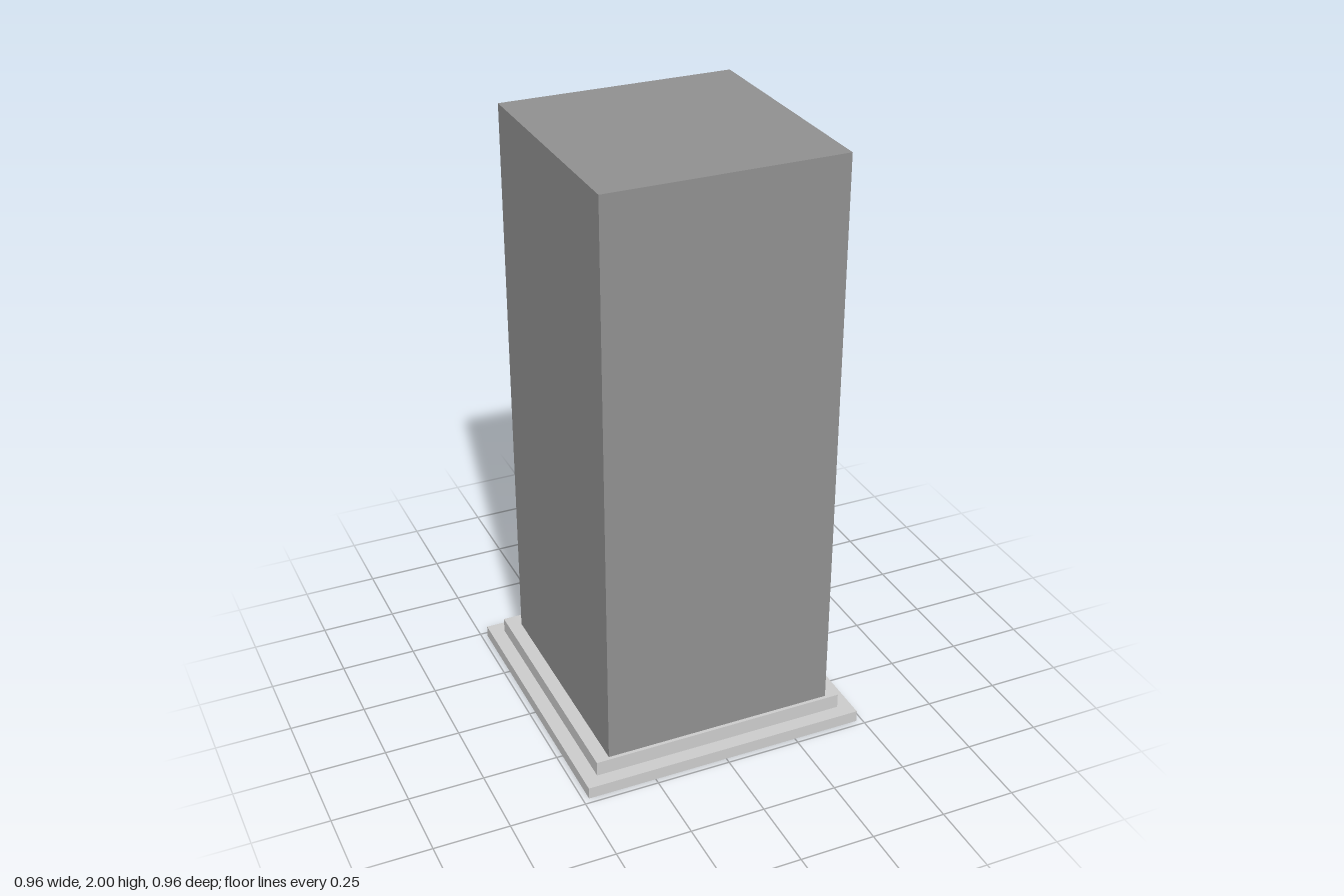
import * as THREE from 'three';

const plain = new THREE.MeshStandardMaterial({ color: 0xcccccc });
const dark = new THREE.MeshStandardMaterial({ color: 0x909090 });

// Box given by its minimum and maximum corners
function box(name, [x0, y0, z0], [x1, y1, z1], material) {
  const mesh = new THREE.Mesh(new THREE.BoxGeometry(x1 - x0, y1 - y0, z1 - z0), material);
  mesh.position.set((x0 + x1) / 2, (y0 + y1) / 2, (z0 + z1) / 2);
  mesh.name = name;
  return mesh;
}

function trace(path, points) {
  points.forEach(([x, y], i) => (i ? path.lineTo(x, y) : path.moveTo(x, y)));
  path.closePath();
  return path;
}

const rect = (x0, y0, x1, y1) => [[x0, y0], [x1, y0], [x1, y1], [x0, y1]];

// Rectangular frame in the xy plane, extruded from z0 to z1
function frame(name, outer, inner, z0, z1, material) {
  const shape = trace(new THREE.Shape(), rect(...outer));
  shape.holes.push(trace(new THREE.Path(), rect(...inner)));
  const geometry = new THREE.ExtrudeGeometry(shape, { depth: z1 - z0, bevelEnabled: false });
  geometry.translate(0, 0, z0);
  const mesh = new THREE.Mesh(geometry, material);
  mesh.name = name;
  return mesh;
}

// Hinge leaf with a rounded outer corner, seen from above and extruded upward
function hingeLeaf(y0, y1) {
  const shape = new THREE.Shape();
  shape.moveTo(0.307, 0.379);
  shape.lineTo(0.36, 0.379);
  shape.lineTo(0.36, 0.388);
  shape.absarc(0.335, 0.388, 0.025, 0, Math.PI / 2, false);
  shape.lineTo(0.335, 0.384);
  shape.lineTo(0.307, 0.384);
  shape.closePath();
  const geometry = new THREE.ExtrudeGeometry(shape, { depth: y1 - y0, bevelEnabled: false, curveSegments: 6 });
  geometry.rotateX(-Math.PI / 2);
  geometry.translate(0, y0, 0);
  const mesh = new THREE.Mesh(geometry, dark);
  mesh.name = 'hingeLeaf';
  return mesh;
}

export function createModel() {
  const model = new THREE.Group();
  model.name = 'cabinet';

  // Stepped plinth
  model.add(box('plinthLower', [-0.48, 0, -0.48], [0.48, 0.04, 0.48], plain));
  model.add(box('plinthUpper', [-0.432, 0.04, -0.432], [0.432, 0.09, 0.432], plain));

  // Hollow body: tube of four walls without a floor, front panel, door frame
  const body = new THREE.Group();
  body.name = 'body';
  const L = -0.386, R = 0.39, T = 2, B = 0.09, t = 0.03;
  body.add(box('frontPanel', [L, B, 0.42 - t], [R, T, 0.42], dark));
  body.add(box('rightWall', [L, B, -0.348], [L + t, T - t, 0.39], dark));
  body.add(box('leftWall', [R - t, B, -0.348], [R, T - t, 0.39], dark));
  body.add(box('roof', [L, T - t, -0.348], [R, T, 0.39], dark));
  body.add(frame('doorFrame', [L, B, R, T], [-0.34, 0.12, 0.355, 1.955], -0.378, -0.348, dark));
  model.add(body);

  // Door on the back
  model.add(box('door', [-0.327, 0.13, -0.413], [0.335, 1.95, -0.383], dark));

  // Two hinges, each with two leaves and a pin between them
  for (const y of [0.38, 1.53]) {
    const hinge = new THREE.Group();
    hinge.name = 'hinge';
    hinge.add(hingeLeaf(y - 0.08, y - 0.005), hingeLeaf(y + 0.005, y + 0.08));
    const pin = new THREE.Mesh(new THREE.CylinderGeometry(0.008, 0.008, 0.16, 12), dark);
    pin.name = 'hingePin';
    pin.position.set(0.345, y, -0.392);
    hinge.add(pin);
    model.add(hinge);
  }

  // Recessed handle plate
  const handle = new THREE.Group();
  handle.name = 'handle';
  handle.add(frame('handleRim', [-0.3, 0.87, -0.195, 1.11], [-0.281, 0.889, -0.214, 1.091], -0.453, -0.432, plain));
  handle.add(box('handleBack', [-0.3, 0.87, -0.432], [-0.195, 1.11, -0.424], plain));
  model.add(handle);

  return model;
}
